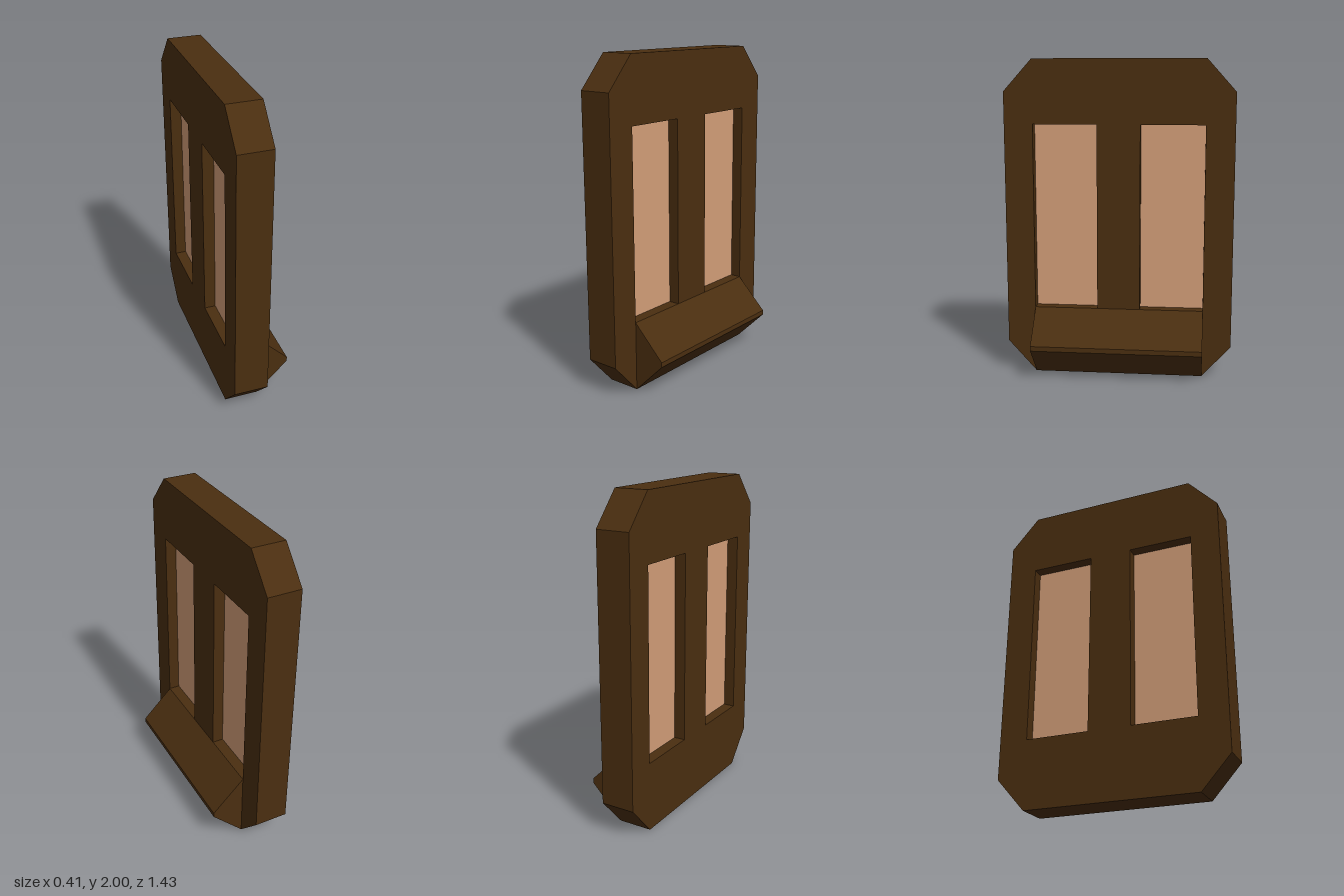
import * as THREE from 'three';

const wood = new THREE.MeshStandardMaterial({ name: 'darkBrownWood', color: 0x4a2e10 });
const paneTan = new THREE.MeshStandardMaterial({ name: 'tanPane', color: 0xd39e78 });

const HALF_X = 0.205, FRONT_X = 0.005; // panel spans -HALF_X to FRONT_X
const THICK = FRONT_X + HALF_X;
const HALF_Z = 0.715, INNER_Z = 0.535, MULLION_Z = 0.135;
const SILL_Y = 0.43, HEAD_Y = 1.6;

const toPoints = (list) => list.map(([x, y]) => new THREE.Vector2(x, y));

function addMesh(group, name, geometry, material) {
  const mesh = new THREE.Mesh(geometry, material);
  mesh.name = name;
  group.add(mesh);
  return mesh;
}

export function createModel() {
  const group = new THREE.Group();
  group.name = 'windowPanel';

  // Octagonal frame with two tall openings, extruded along x
  const outline = new THREE.Shape(toPoints([
    [-INNER_Z, 0], [INNER_Z, 0], [HALF_Z, 0.2], [HALF_Z, 1.8],
    [INNER_Z, 2], [-INNER_Z, 2], [-HALF_Z, 1.8], [-HALF_Z, 0.2],
  ]));
  for (const s of [-1, 1]) {
    outline.holes.push(new THREE.Path(toPoints([
      [s * MULLION_Z, SILL_Y], [s * MULLION_Z, HEAD_Y],
      [s * INNER_Z, HEAD_Y], [s * INNER_Z, SILL_Y],
    ])));
  }
  const frame = new THREE.ExtrudeGeometry(outline, { depth: THICK, bevelEnabled: false });
  frame.rotateY(Math.PI / 2).translate(-HALF_X, 0, 0);
  addMesh(group, 'frame', frame, wood);

  // Panes recessed equally from both faces
  for (const [name, s] of [['frontPane', 1], ['backPane', -1]]) {
    const pane = new THREE.BoxGeometry(0.07, HEAD_Y - SILL_Y + 0.02, INNER_Z - MULLION_Z + 0.02);
    addMesh(group, name, pane, paneTan)
      .position.set(FRONT_X - THICK / 2, (SILL_Y + HEAD_Y) / 2, s * (INNER_Z + MULLION_Z) / 2);
  }

  // Wedge-shaped ledge along the bottom of the left face
  const profile = new THREE.Shape(toPoints([
    [FRONT_X, 0], [HALF_X, 0.2], [HALF_X, 0.23], [FRONT_X, SILL_Y],
  ]));
  const ledge = new THREE.ExtrudeGeometry(profile, { depth: INNER_Z * 2, bevelEnabled: false });
  ledge.translate(0, 0, -INNER_Z);
  addMesh(group, 'ledge', ledge, wood);

  return group;
}
